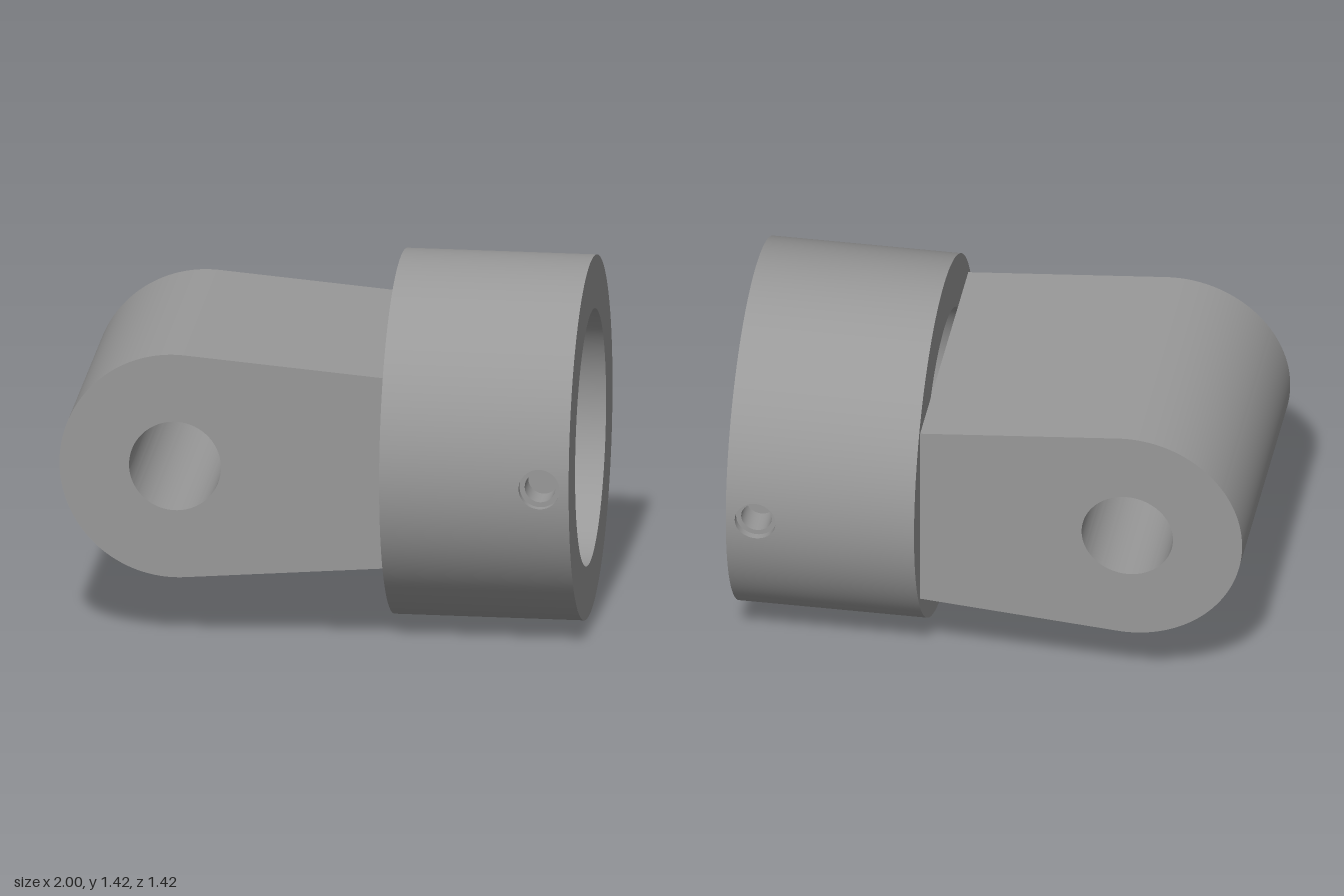
import * as THREE from 'three';
import { toCreasedNormals } from 'three/addons/utils/BufferGeometryUtils.js';
import { ParametricGeometry } from 'three/addons/geometries/ParametricGeometry.js';

const R = 0.708, BORE = 0.5;       // socket radii; R is also the axis height
const X0 = 0.262, X1 = 1;          // socket ends
const HX = 0.885, HR = 0.08, HS = 0.1; // set-screw hole centre, radius, half-size of its patch
const T = Math.asin(HS / R);       // half angle covered by the patch

const steel = new THREE.MeshStandardMaterial({ color: 0x999999 });
steel.name = 'grey steel';

function add(group, name, geometry) {
  const mesh = new THREE.Mesh(geometry, steel);
  mesh.name = name;
  group.add(mesh);
  return mesh;
}

// Surface swept round the x axis between two (x, r) points; angle 0 faces +z
function swept([xa, ra], [xb, rb], t0, t1, segments) {
  return new ParametricGeometry((u, v, p) => {
    const r = ra + (rb - ra) * u, t = t0 + (t1 - t0) * v;
    p.set(xa + (xb - xa) * u, r * Math.sin(t), r * Math.cos(t));
  }, 1, segments);
}

// Skin patch running from the round hole edge out to a square
function holePatch() {
  return new ParametricGeometry((u, v, p) => {
    const a = v * Math.PI * 2, c = Math.cos(a), s = Math.sin(a);
    const k = HR + (HS / Math.max(Math.abs(c), Math.abs(s)) - HR) * u;
    p.set(HX + k * c, k * s, Math.sqrt(R * R - k * k * s * s));
  }, 2, 48);
}

// Wall or step round the hole axis; z = null means the socket skin
function holeWall([ra, za], [rb, zb]) {
  return new ParametricGeometry((u, v, p) => {
    const a = v * Math.PI * 2, r = ra + (rb - ra) * u;
    const y = r * Math.sin(a), top = zb ?? Math.sqrt(R * R - y * y);
    p.set(HX + r * Math.cos(a), y, za + (top - za) * u);
  }, 1, 48);
}

// One half of the outer skin with its blind, stepped set-screw hole
function socketSide() {
  const side = new THREE.Group();
  add(side, 'outerWall', swept([X0, R], [X1, R], T, Math.PI - T, 64));
  add(side, 'holeBandInner', swept([X0, R], [HX - HS, R], -T, T, 12));
  add(side, 'holeBandRim', swept([HX + HS, R], [X1, R], -T, T, 12));
  add(side, 'holeSurround', holePatch());
  add(side, 'holeMouth', holeWall([HR, 0.675], [HR, null]));
  add(side, 'holeStep', holeWall([0.06, 0.675], [HR, 0.675]));
  add(side, 'holeBore', holeWall([0.06, 0.56], [0.06, 0.675]));
  add(side, 'holeFloor', new THREE.CircleGeometry(0.06, 48)).position.set(HX, 0, 0.56);
  return side;
}

export function createModel() {
  const model = new THREE.Group();
  model.name = 'pivotSocket';

  // Round socket, open at both ends
  const socket = new THREE.Group();
  socket.name = 'socket';
  socket.position.y = R;
  const full = Math.PI * 2;
  add(socket, 'backRim', swept([X0, BORE], [X0, R], 0, full, 128));
  add(socket, 'frontRim', swept([X1, R], [X1, BORE], 0, full, 128));
  add(socket, 'bore', swept([X1, BORE], [X0, BORE], 0, full, 128));
  for (const [name, turn] of [['frontSide', 0], ['backSide', Math.PI]]) {
    const side = socketSide();
    side.name = name;
    side.rotation.x = turn;
    socket.add(side);
  }
  model.add(socket);

  // Tapered lug with rounded end and pin hole
  const CX = -0.55, LR = 0.45, tilt = 0.082, half = 0.385;
  const outline = new THREE.Shape();
  outline.moveTo(X0, -half);
  outline.lineTo(X0, half);
  outline.absarc(CX, 0, LR, Math.PI / 2 - tilt, -Math.PI / 2 + tilt, false);
  outline.closePath();
  outline.holes.push(new THREE.Path().absarc(CX, 0, 0.179, 0, full, true));
  const lug = new THREE.ExtrudeGeometry(outline, { depth: 1.13, bevelEnabled: false, curveSegments: 64 });
  lug.translate(0, R, -0.565);
  add(model, 'lug', toCreasedNormals(lug, 0.5));

  return model;
}
